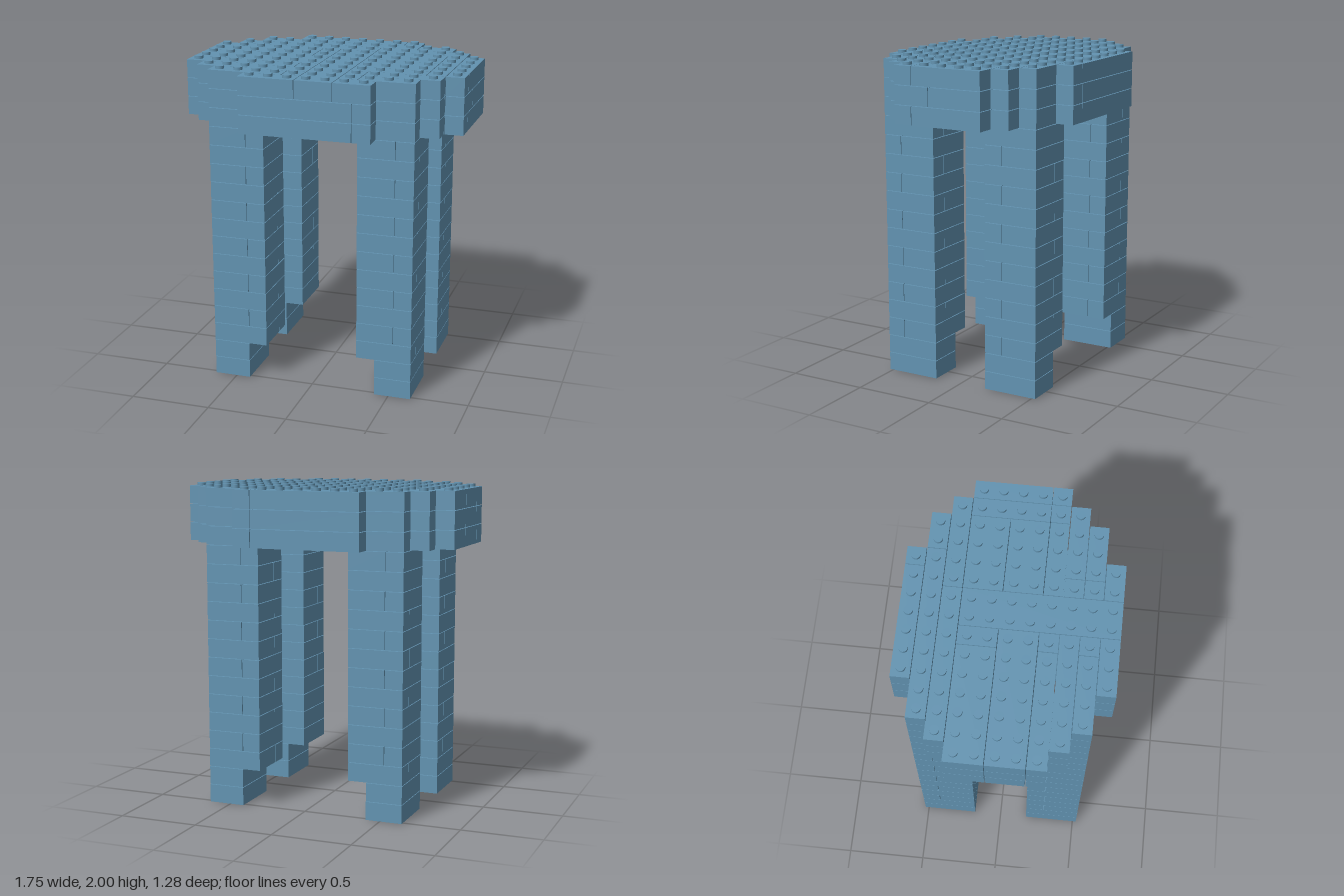
import * as THREE from 'three';

const U = 0.1167;     // brick pitch, also the height of one course
const GAP = 0.004;    // joint between bricks
const blue = new THREE.MeshStandardMaterial({ color: 0x6293b1 });
blue.name = 'dusty blue';

// Brick covering columns x0..x1 (0..15) and rows z0..z1 (0..11, back to front)
function brick(parent, name, x0, x1, z0, z1, course) {
  const geo = new THREE.BoxGeometry((x1 - x0) * U - GAP, U - GAP, (z1 - z0) * U - GAP);
  const mesh = new THREE.Mesh(geo, blue);
  mesh.name = name;
  mesh.position.set(((x0 + x1) / 2 - 7.5) * U, (course + 0.5) * U, ((z0 + z1) / 2 - 5.5) * U);
  parent.add(mesh);
}

function part(parent, name) {
  const group = new THREE.Group();
  group.name = name;
  parent.add(group);
  return group;
}

// Top course of the seat: [x0, x1, z0, z1]
const TOP = [
  [4, 10, 0, 1], [10, 11, 0, 1], [2, 11, 1, 2], [11, 13, 1, 2], [1, 9, 2, 3], [9, 14, 2, 3],
  [0, 6, 3, 5], [6, 7, 3, 5], [7, 9, 3, 11], [9, 13, 3, 5], [13, 14, 3, 7], [14, 15, 3, 7],
  [0, 7, 5, 7], [9, 13, 5, 7], [0, 6, 7, 8], [6, 7, 7, 8], [9, 13, 7, 8], [13, 14, 7, 8], [14, 15, 7, 8],
  [1, 7, 8, 9], [9, 10, 8, 9], [10, 14, 8, 9],
  [2, 6, 9, 10], [6, 7, 9, 10], [9, 10, 9, 10], [10, 13, 9, 10],
  [4, 7, 10, 11], [9, 11, 10, 11],
];

// Lower courses; the split row of the right edge alternates
const lower = (split) => [
  [4, 10, 0, 1], [10, 11, 0, 1], [2, 13, 1, 2], [1, 14, 2, 3],
  [0, 7, 3, 5], [7, 14, 3, 5], [0, 7, 5, 7], [7, 14, 5, 7], [0, 7, 7, 8], [7, 14, 7, 8],
  [14, 15, 3, split], [14, 15, split, 8],
  [1, 14, 8, 9], [2, 13, 9, 10], [4, 10, 10, 11], [10, 11, 10, 11],
];

// First and last column of the stepped outline, per row
const OUTLINE = [[4, 11], [2, 13], [1, 14], [0, 15], [0, 15], [0, 15], [0, 15], [0, 15], [1, 14], [2, 13], [4, 11]];

export function createModel() {
  const model = new THREE.Group();
  model.name = 'brickStool';

  // Legs: two narrow foot courses, then twelve courses with alternating joints
  const legs = [
    ['frontLeftLeg', 10, 7, 12, 8 + 1],
    ['frontRightLeg', 2, 7, 4, 8],
    ['backLeftLeg', 10, 1, 11, 3],
    ['backRightLeg', 2, 1, 3, 2],
  ];
  for (const [name, x, z, xJoint, zJoint] of legs) {
    const leg = part(model, name);
    const footX = x === 2 ? 2 : 11;
    for (let c = 0; c < 14; c++) {
      if (c < 2) brick(leg, 'footBrick', footX, footX + 2, z, z + 3, c);
      else if (c % 2) {
        brick(leg, 'legBrick', x, xJoint, z, z + 3, c);
        brick(leg, 'legBrick', xJoint, x + 3, z, z + 3, c);
      } else {
        brick(leg, 'legBrick', x, x + 3, z, zJoint, c);
        brick(leg, 'legBrick', x, x + 3, zJoint, z + 3, c);
      }
    }
  }

  // Seat: three courses with a stepped oval outline
  const seat = part(model, 'seat');
  [lower(7), lower(6), TOP].forEach((course, i) => {
    for (const b of course) brick(seat, 'seatBrick', ...b, 14 + i);
  });

  // Studs on the seat
  const studs = part(model, 'studs');
  const top = 17 * U - GAP / 2;
  const studGeo = new THREE.CylinderGeometry(0.027, 0.027, 2 - top, 20);
  OUTLINE.forEach(([first, last], row) => {
    for (let col = first; col < last; col++) {
      const stud = new THREE.Mesh(studGeo, blue);
      stud.name = 'stud';
      stud.position.set((col - 7) * U, (2 + top) / 2, (row - 5) * U);
      studs.add(stud);
    }
  });
  return model;
}
